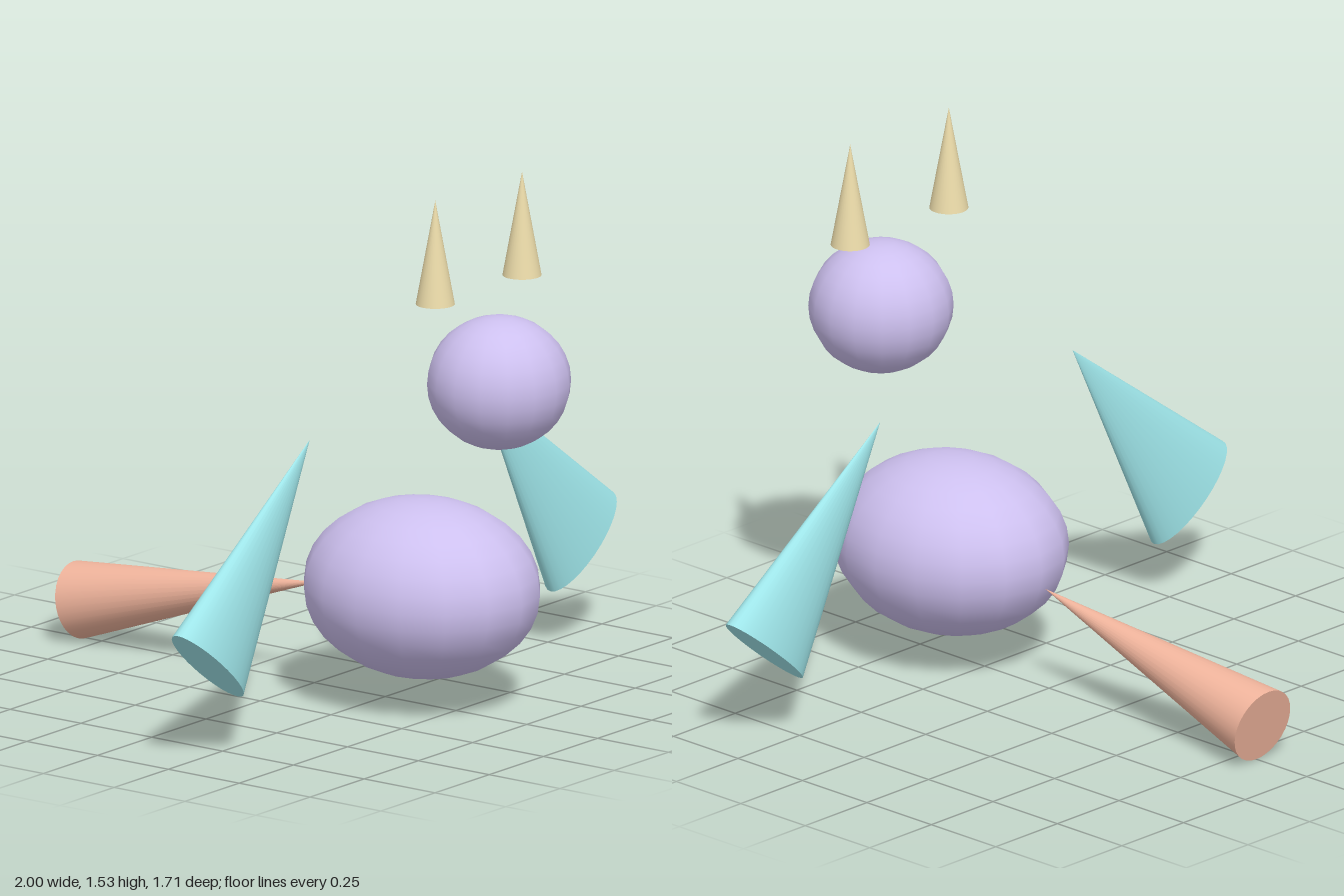
import * as THREE from 'three';

const paint = (color) => new THREE.MeshStandardMaterial({ color });
const lilac = paint(0xcdc0ef);
const aqua = paint(0x9fe6ea);
const salmon = paint(0xf0b49c);
const sand = paint(0xecdcaa);

export function createModel() {
  const model = new THREE.Group();
  model.name = 'creature';

  // Ellipsoid given by its centre and radii
  const ellipsoid = (name, centre, radii) => {
    const mesh = new THREE.Mesh(new THREE.SphereGeometry(1, 16, 16), lilac);
    mesh.name = name;
    mesh.position.set(...centre);
    mesh.scale.set(...radii);
    model.add(mesh);
  };

  // Cone from its base centre to its tip, optionally flattened along z
  const cone = (name, base, tip, radius, material, flatten = 1) => {
    const from = new THREE.Vector3(...base);
    const to = new THREE.Vector3(...tip);
    const axis = to.clone().sub(from);
    const mesh = new THREE.Mesh(new THREE.ConeGeometry(radius, axis.length(), 32), material);
    mesh.name = name;
    mesh.position.copy(from).add(to).multiplyScalar(0.5);
    mesh.quaternion.setFromUnitVectors(new THREE.Vector3(0, 1, 0), axis.normalize());
    mesh.scale.z = flatten;
    model.add(mesh);
  };

  // Body and head
  ellipsoid('body', [0, 0.345, 0.38], [0.308, 0.255, 0.353]);
  ellipsoid('head', [0, 0.983, 0.652], [0.205, 0.19, 0.203]);

  // Tail widens backwards
  cone('tail', [0, 0.113, -0.828], [0, 0.3, 0.015], 0.11, salmon);

  // Mirrored horns and flattened wings
  for (const [side, s] of [['left', 1], ['right', -1]]) {
    cone(side + 'Horn', [s * 0.2, 1.24, 0.58], [s * 0.2, 1.54, 0.58], 0.055, sand);
    cone(side + 'Wing', [s * 0.86, 0.28, 0.282], [s * 0.39, 0.838, 0.282], 0.181, aqua, 0.39);
  }

  return model;
}
